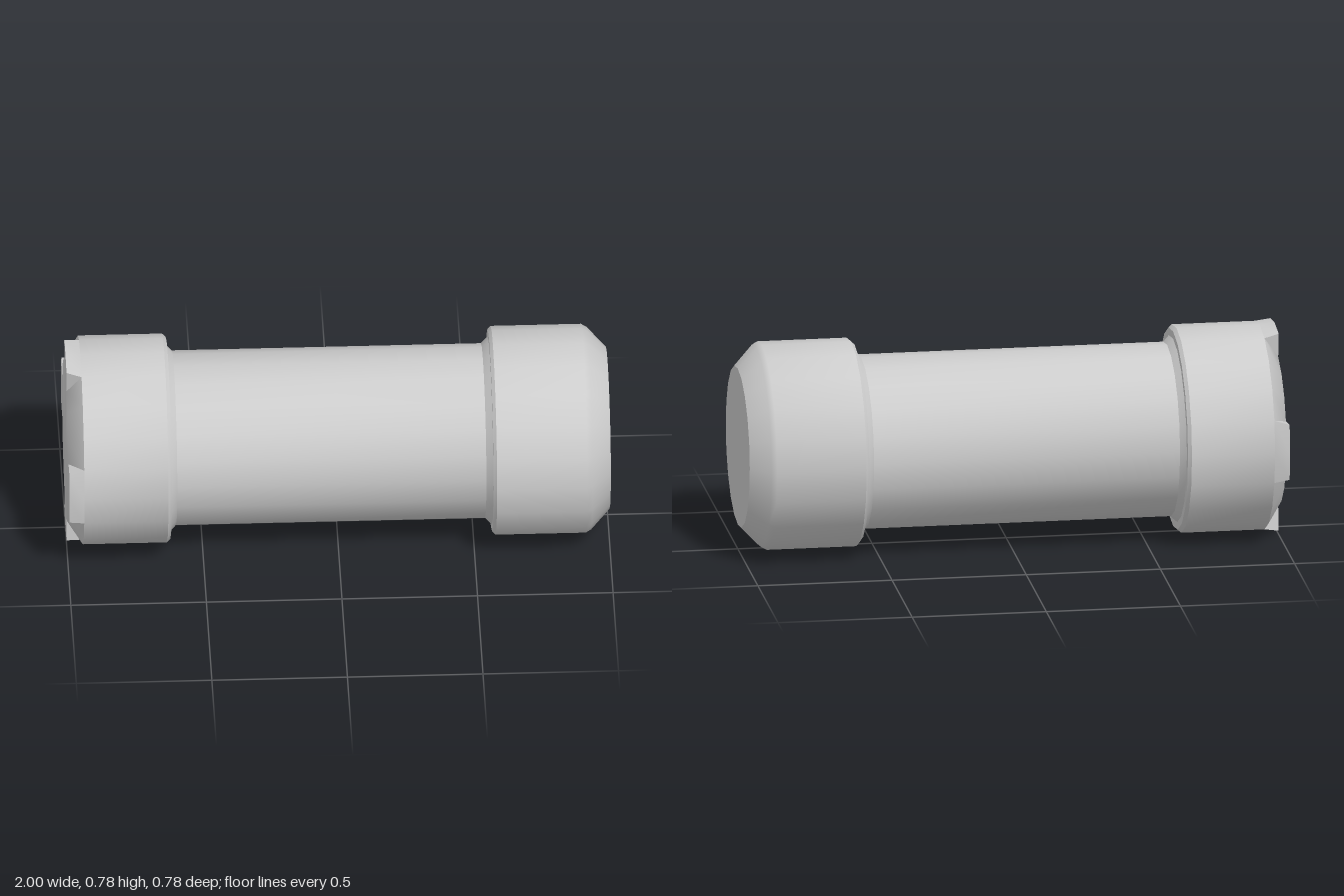
import * as THREE from 'three';
import { toCreasedNormals } from 'three/addons/utils/BufferGeometryUtils.js';

const SIDES = 20;
const STEP = (Math.PI * 2) / SIDES;
const AXIS_Y = 0.395;
const material = new THREE.MeshStandardMaterial({ color: 0xcccccc });

function addPart(group, name, geometry) {
  const mesh = new THREE.Mesh(toCreasedNormals(geometry, 0.65), material);
  mesh.name = name;
  mesh.position.y = AXIS_Y;
  group.add(mesh);
}

// Turned part along x from [x, radius] pairs
function turned(profile) {
  const points = profile.map(([x, r]) => new THREE.Vector2(r, x));
  return new THREE.LatheGeometry(points, SIDES).rotateZ(-Math.PI / 2);
}

// End face with four flared teeth and sloped gaps between them
function crownGeometry() {
  const positions = [];
  const at = (x, r, a) => [x, r * Math.cos(a), r * Math.sin(a)];
  const tri = (a, b, c) => positions.push(...a, ...b, ...c);
  const quad = (a, b, c, d) => { tri(a, b, c); tri(a, c, d); };
  const centre = [-1, 0, 0];
  const inner = (k) => at(-1, 0.3, k * STEP);
  const rim = (k) => at(-0.945, 0.385, k * STEP);

  for (let k = 0; k < SIDES; k++) {
    const j = k + 1;
    tri(centre, inner(j), inner(k));
    const first = k % 5 === 4;
    const second = k % 5 === 0;
    if (!first && !second) {
      quad(inner(k), inner(j), rim(j), rim(k));
      continue;
    }
    // Tooth tips are slightly narrower and wider in radius than their base
    const mid = (first ? j : k) * STEP;
    const tipA = at(-1, 0.392, first ? mid - 0.273 : mid);
    const tipB = at(-1, 0.392, first ? mid : mid + 0.273);
    quad(inner(k), inner(j), tipB, tipA);
    quad(tipA, tipB, rim(j), rim(k));
    if (first) tri(inner(k), tipA, rim(k));
    else tri(inner(j), rim(j), tipB);
  }
  const geometry = new THREE.BufferGeometry();
  geometry.setAttribute('position', new THREE.Float32BufferAttribute(positions, 3));
  return geometry;
}

export function createModel() {
  const group = new THREE.Group();
  group.name = 'cylinderWithCollars';

  addPart(group, 'toothedEnd', crownGeometry());
  addPart(group, 'toothedCollar', turned([
    [-0.945, 0.385], [-0.635, 0.385], [-0.622, 0.373], [-0.622, 0.345], [-0.6, 0.322],
  ]));
  addPart(group, 'shaft', turned([[-0.6, 0.322], [0.54, 0.322]]));
  addPart(group, 'roundedCollar', turned([
    [0.54, 0.322], [0.565, 0.347], [0.565, 0.373], [0.577, 0.385],
    [0.91, 0.385], [0.93, 0.374], [1, 0.299],
  ]));
  addPart(group, 'endCap', turned([[1, 0.299], [1, 0]]));
  return group;
}
